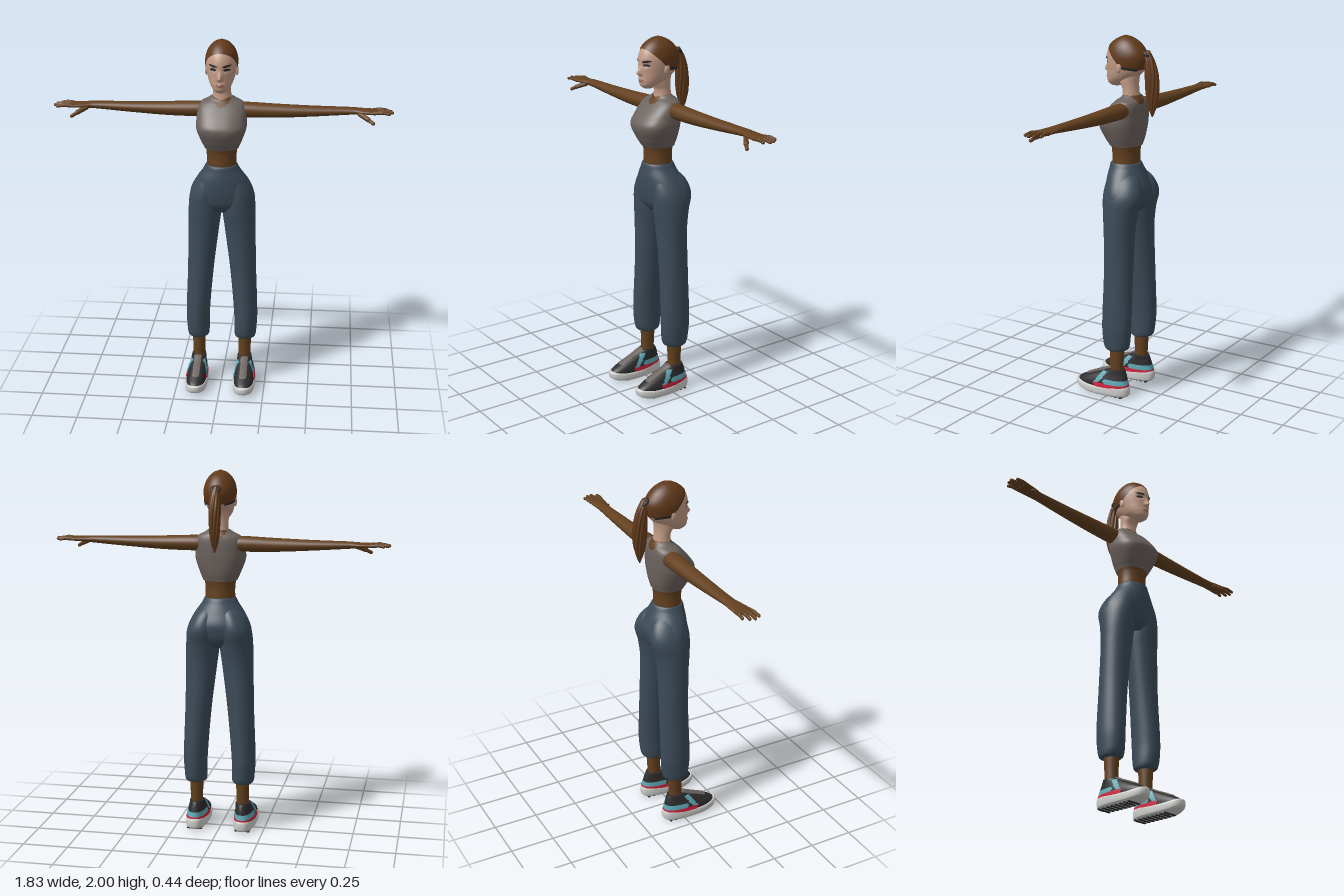
import * as THREE from 'three';

const mat = (name, color) => {
  const m = new THREE.MeshStandardMaterial({ color });
  m.name = name;
  return m;
};

// Smooth closed loft of rounded sections [y, xCentre, halfWidth, zFront, zBack, roundness], y rising
function loft(secs, seg = 36, n = 5, rule) {
  const at = (i, k) => secs[Math.min(Math.max(i, 0), secs.length - 1)][k] ?? 2;
  const slope = (i, k) => (at(i + 1, k) - at(i - 1, k)) / (at(i + 1, 0) - at(i - 1, 0));
  const pos = [], idx = [], v = new THREE.Vector3();
  const rows = (secs.length - 1) * n + 1;
  const ends = [];
  for (let r = 0; r < rows; r++) {
    const i = Math.min(Math.floor(r / n), secs.length - 2), t = r / n - i;
    const h = at(i + 1, 0) - at(i, 0), y = at(i, 0) + h * t;
    const [xc, hw, f, b, e] = [1, 2, 3, 4, 5].map(k => {
      const t2 = t * t, t3 = t2 * t;
      return (2 * t3 - 3 * t2 + 1) * at(i, k) + (t3 - 2 * t2 + t) * h * slope(i, k)
        + (3 * t2 - 2 * t3) * at(i + 1, k) + (t3 - t2) * h * slope(i + 1, k);
    });
    for (let j = 0; j < seg; j++) {
      const a = j / seg * Math.PI * 2, c = Math.cos(a), s = Math.sin(a);
      const p = q => Math.sign(q) * Math.abs(q) ** (2 / e);
      v.set(xc + hw * p(c), y, (f + b) / 2 + (f - b) / 2 * p(s));
      if (rule) rule(v, a);
      pos.push(v.x, v.y, v.z);
    }
    if (r === 0 || r === rows - 1) ends.push([xc, y, (f + b) / 2]);
  }
  for (let r = 0; r < rows - 1; r++) for (let j = 0; j < seg; j++) {
    const a = r * seg + j, c = r * seg + (j + 1) % seg;
    idx.push(a, a + seg, c, c, a + seg, c + seg);
  }
  const base = rows * seg, top = (rows - 1) * seg;
  for (const e of ends) {
    v.set(...e);
    if (rule) rule(v, 0);
    pos.push(v.x, v.y, v.z);
  }
  for (let j = 0; j < seg; j++) {
    const k = (j + 1) % seg;
    idx.push(base, j, k, base + 1, top + k, top + j);
  }
  const g = new THREE.BufferGeometry();
  g.setAttribute('position', new THREE.Float32BufferAttribute(pos, 3));
  g.setIndex(idx);
  g.computeVertexNormals();
  return g;
}

// Thin layer over a surface: stands proud where mask > 0 and sinks below elsewhere
function layer(src, d, mask) {
  const g = src.clone(), p = g.attributes.position, nor = src.attributes.normal;
  const m = [], v = new THREE.Vector3(), w = new THREE.Vector3();
  for (let i = 0; i < p.count; i++) {
    v.fromBufferAttribute(p, i);
    m[i] = mask(v.x, v.y, v.z);
    v.addScaledVector(w.fromBufferAttribute(nor, i), d * THREE.MathUtils.clamp(m[i] * 2, -1, 1));
    p.setXYZ(i, v.x, v.y, v.z);
  }
  const out = [], ix = src.index.array;
  for (let i = 0; i < ix.length; i += 3) {
    const t = [ix[i], ix[i + 1], ix[i + 2]];
    if (t.some(k => m[k] > 0)) out.push(...t);
  }
  g.setIndex(out);
  return g;
}

function mirrored(src) {
  const g = src.clone().scale(-1, 1, 1), ix = g.index.array;
  for (let i = 0; i < ix.length; i += 3) [ix[i], ix[i + 1]] = [ix[i + 1], ix[i]];
  return g;
}

// Capsule between two points
function rod(a, b, r) {
  const A = new THREE.Vector3(...a), B = new THREE.Vector3(...b), d = B.clone().sub(A);
  const q = new THREE.Quaternion().setFromUnitVectors(new THREE.Vector3(0, 1, 0), d.clone().normalize());
  const c = A.add(B).multiplyScalar(0.5);
  return new THREE.CapsuleGeometry(r, d.length(), 5, 12).applyQuaternion(q).translate(c.x, c.y, c.z);
}

export function createModel() {
  const model = new THREE.Group();
  const skin = mat('brown skin', 0x63401f), face = mat('face skin', 0xc39c86), hairM = mat('hair', 0x60391a);
  const cloth = mat('grey cloth', 0x6c635e), trouser = mat('slate trousers', 0x3c4b58), dark = mat('charcoal', 0x2c2c2e);
  const white = mat('sole white', 0xcfcfcd), blue = mat('shoe blue', 0x5fa9b6), red = mat('shoe red', 0xd3243c);
  const lip = mat('lips', 0xa4705f);
  const add = (name, g, m) => {
    const mesh = new THREE.Mesh(g, m);
    mesh.name = name;
    model.add(mesh);
  };
  const pair = (name, g, m) => {
    add(name + 'Left', g, m);
    add(name + 'Right', mirrored(g), m);
  };
  const bell = q => Math.exp(-q * q), { hypot, abs, min, max } = Math;

  // Head with nose, eye sockets and lips
  const head = loft([
    [1.733, 0, 0.02, 0.07, 0.02], [1.748, 0, 0.038, 0.09, 0], [1.77, 0, 0.056, 0.096, -0.06],
    [1.79, 0, 0.066, 0.096, -0.09], [1.82, 0, 0.075, 0.096, -0.122], [1.86, 0, 0.082, 0.098, -0.138],
    [1.9, 0, 0.083, 0.096, -0.14], [1.94, 0, 0.073, 0.08, -0.118], [1.97, 0, 0.054, 0.052, -0.088],
    [1.99, 0, 0.03, 0.018, -0.052], [2, 0, 0.003, -0.012, -0.02]], 112, 12, v => {
    if (v.z < 0.02) return;
    const { x, y } = v;
    v.z += 0.024 * bell(x / 0.012) * bell((y - 1.815) / (y < 1.815 ? 0.009 : 0.028))
      - 0.008 * bell((abs(x) - 0.034) / 0.016) * bell((y - 1.862) / 0.012)
      + 0.005 * bell(x / 0.018) * bell((y - 1.78) / 0.009);
  });
  add('head', head, face);
  add('hair', layer(head, 0.004, (x, y, z) => min(y - 1.828, y - 1.868 - z) / 0.01), hairM);
  add('eyesAndBrows', layer(head, 0.003, (x, y, z) => z < 0 ? -1 : max(
    1 - hypot((abs(x) - 0.036) / 0.018, (y - 1.861) / 0.007),
    1 - hypot((abs(x) - 0.037) / 0.023, (y - 1.882 - 0.15 * (abs(x) - 0.037)) / 0.006))), dark);
  add('napeHairline', layer(head, 0.006, (x, y, z) => min(z + 0.11, -0.03 - z, 0.01 - abs(y - 1.838 - 0.15 * (z + 0.06))) / 0.01), dark);
  add('lips', layer(head, 0.002, (x, y, z) => z < 0 ? -1 : 1 - hypot(x / 0.024, (y - 1.78) / 0.009)), lip);
  pair('ear', new THREE.SphereGeometry(1, 16, 12).scale(0.009, 0.027, 0.016).rotateX(-0.2).translate(0.081, 1.838, -0.02), face);
  add('neck', loft([[1.67, 0, 0.052, 0, -0.096], [1.72, 0, 0.048, -0.002, -0.09], [1.76, 0, 0.05, 0.02, -0.09],
    [1.81, 0, 0.05, 0.02, -0.1]]), face);

  // Ponytail with strands and its tie
  add('ponytail', loft([[1.58, 0, 0.003, -0.176, -0.182], [1.63, 0, 0.018, -0.158, -0.2], [1.7, 0, 0.027, -0.143, -0.214],
    [1.8, 0, 0.03, -0.138, -0.211], [1.88, 0, 0.024, -0.135, -0.188], [1.93, 0, 0.014, -0.12, -0.16]], 60, 8, (v, a) => {
    const k = 1 + 0.09 * Math.cos(a * 10 + v.y * 25);
    v.x *= k;
    v.z = -0.175 + (v.z + 0.175) * k;
  }), hairM);
  add('hairTie', new THREE.TorusGeometry(0.021, 0.008, 10, 24).rotateX(0.9).translate(0, 1.912, -0.148), dark);

  // Torso, and the cropped top laid over it
  const torso = loft([
    [1.27, 0, 0.08, 0.05, -0.09], [1.32, 0, 0.081, 0.057, -0.093], [1.37, 0, 0.081, 0.057, -0.092],
    [1.41, 0, 0.086, 0.062, -0.096, 2.1], [1.46, 0, 0.106, 0.09, -0.108, 2.3], [1.53, 0, 0.129, 0.114, -0.115, 2.5],
    [1.58, 0, 0.128, 0.085, -0.117, 2.5], [1.63, 0, 0.122, 0.042, -0.116, 2.5], [1.655, 0, 0.108, 0.018, -0.112, 2.3],
    [1.672, 0, 0.075, 0.002, -0.105], [1.69, 0, 0.05, -0.004, -0.094]], 72, 8);
  add('torso', torso, skin);
  add('croppedTop', layer(torso, 0.006, (x, y) => min((y - 1.412) / 0.008, (hypot(x / 0.046, (y - 1.692) / 0.05) - 1) * 3)), cloth);

  // Arms and hands, lofted upright then laid sideways
  pair('arm', loft([[0.07, -1.615, 0.04, -0.005, -0.095], [0.13, -1.615, 0.042, -0.002, -0.098], [0.3, -1.613, 0.037, -0.006, -0.094],
    [0.5, -1.616, 0.028, -0.013, -0.09], [0.7, -1.622, 0.019, -0.02, -0.086], [0.75, -1.622, 0.015, -0.008, -0.09],
    [0.8, -1.622, 0.013, 0, -0.092], [0.825, -1.622, 0.011, -0.002, -0.09], [0.832, -1.622, 0.006, -0.01, -0.08]])
    .rotateZ(-Math.PI / 2), skin);
  [[-0.082, 0.878, -0.088], [-0.058, 0.9, -0.061], [-0.034, 0.907, -0.034], [-0.01, 0.89, -0.004]].forEach(([z, tip, tz], i) => {
    const midX = (0.82 + tip) / 2, mid = [midX, 1.626, (z + tz) / 2];
    pair('fingerBase' + i, rod([0.81, 1.622, z], mid, 0.0098), skin);
    pair('fingerTip' + i, rod(mid, [tip, 1.621, tz], 0.0085), skin);
  });
  pair('thumbBase', rod([0.735, 1.612, -0.025], [0.78, 1.592, 0.01], 0.013), skin);
  pair('thumbTip', rod([0.78, 1.592, 0.01], [0.807, 1.576, 0.027], 0.0095), skin);

  // Trousers
  add('trouserHips', loft([[1.05, 0, 0.06, 0.03, -0.1], [1.09, 0, 0.165, 0.058, -0.135], [1.13, 0, 0.177, 0.069, -0.15],
    [1.18, 0, 0.167, 0.076, -0.156], [1.24, 0, 0.135, 0.077, -0.134], [1.29, 0, 0.1, 0.071, -0.112],
    [1.314, 0, 0.088, 0.067, -0.102], [1.32, 0, 0.083, 0.06, -0.096]], 56), trouser);
  pair('trouserLeg', loft([[0.276, 0.133, 0.05, 0.015, -0.095], [0.285, 0.133, 0.059, 0.028, -0.108], [0.32, 0.134, 0.063, 0.04, -0.118],
    [0.42, 0.136, 0.066, 0.046, -0.126], [0.7, 0.119, 0.073, 0.042, -0.124], [0.95, 0.101, 0.086, 0.05, -0.124],
    [1.06, 0.093, 0.092, 0.06, -0.14], [1.15, 0.088, 0.087, 0.064, -0.163], [1.23, 0.07, 0.067, 0.055, -0.138],
    [1.28, 0.05, 0.04, 0.04, -0.09]], 40), trouser);
  pair('ankle', loft([[0.08, 0.131, 0.034, 0, -0.08], [0.17, 0.131, 0.034, 0, -0.076], [0.3, 0.131, 0.038, 0.004, -0.084]], 28), skin);

  // Shoes: sole with toe spring, tread bars, upper and its coloured panels
  pair('sole', loft([[0.004, 0.136, 0.054, 0.2, -0.108, 2.5], [0.012, 0.136, 0.061, 0.216, -0.118, 2.5],
    [0.04, 0.136, 0.062, 0.22, -0.12, 2.5], [0.05, 0.136, 0.058, 0.214, -0.115, 2.5]], 56, 5, v => {
    if (v.z < 0.06) v.y *= 1 + min(0.3, (0.06 - v.z) * 3);
    if (v.z > 0.1) v.y += (v.z - 0.1) ** 2 * 1.2;
  }), white);
  for (let i = 0; i < 8; i++)
    pair('treadBar' + i, new THREE.BoxGeometry(0.085, 0.006, 0.012).translate(0.136, 0.003, -0.085 + i * 0.03), dark);
  const upper = loft([[0.035, 0.136, 0.056, 0.208, -0.11, 2.4], [0.065, 0.136, 0.056, 0.205, -0.11, 2.4],
    [0.09, 0.135, 0.053, 0.165, -0.106, 2.3], [0.12, 0.133, 0.046, 0.1, -0.1, 2.2], [0.14, 0.132, 0.042, 0.052, -0.094],
    [0.158, 0.131, 0.039, 0.016, -0.086]], 72, 8);
  pair('shoeUpper', upper, dark);
  pair('shoeBluePanel', layer(upper, 0.003, (x, y, z) => max(
    min(y - 0.07, 0.1 - y, 0.02 - z) / 0.006,
    min(y - 0.07, 0.142 - y, 0.016 - abs(z - 0.075 + 0.7 * (y - 0.06)), abs(x - 0.134) - 0.024) / 0.006)), blue);
  pair('shoeRedStripe', layer(upper, 0.005, (x, y, z) => min(y - 0.048, 0.074 - y, 0.085 - z) / 0.006), red);
  pair('shoeTongue', layer(upper, 0.004, (x, y, z) => min(0.02 - abs(x - 0.134), y - 0.095, z) / 0.005), cloth);
  return model;
}
